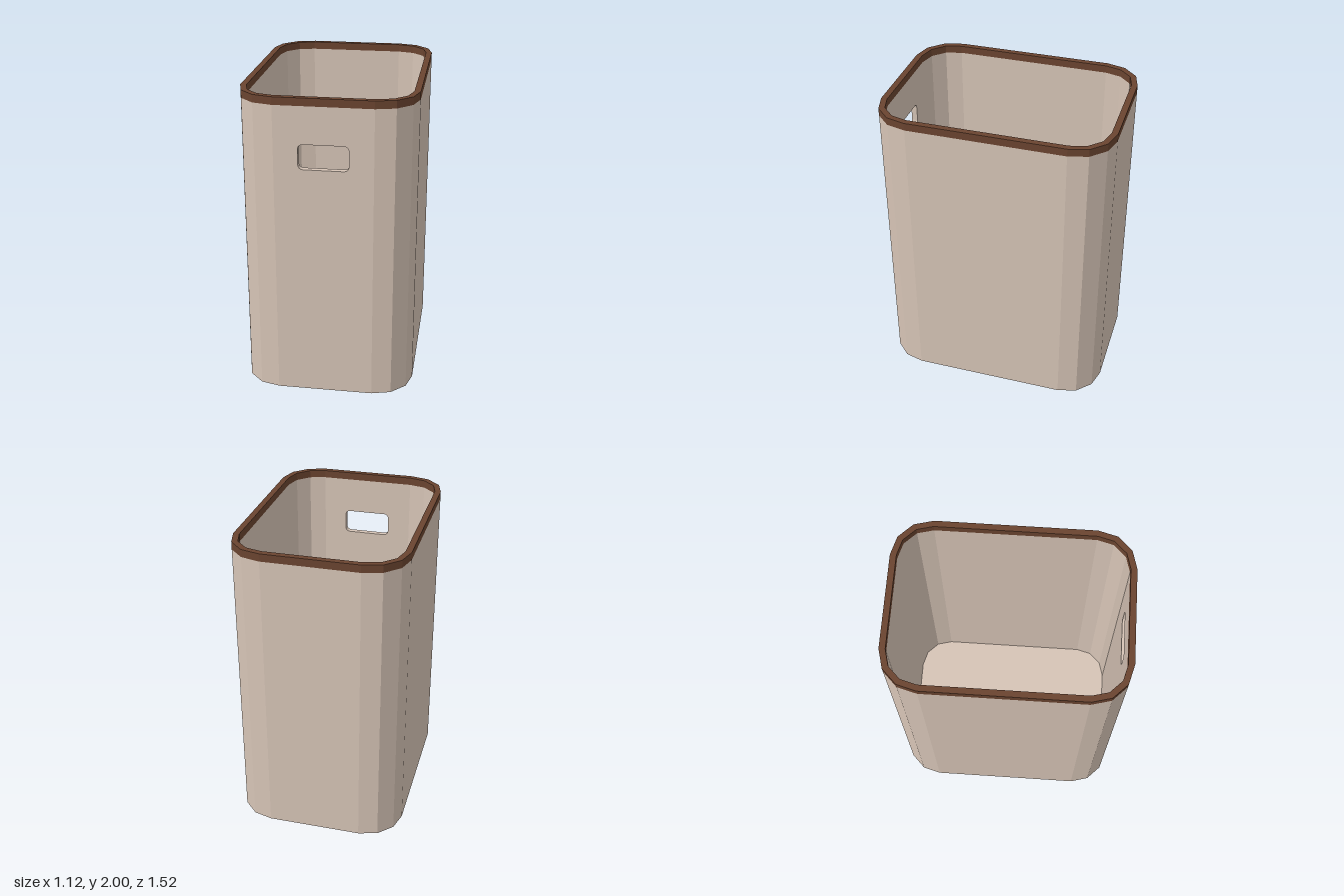
import * as THREE from 'three';

const CX = 0.31, CZ = 0.51;        // corner arc centres
const R_OUT = 0.25, R_IN = 0.21;   // outer and inner corner radii
const BODY_H = 1.95, TOTAL_H = 2, FLOOR_H = 0.04;

// Rounded rectangle with faceted corners; starts and ends at the front edge
function outline(cx, cy, r, segments) {
  const points = [];
  [[1, -1], [1, 1], [-1, 1], [-1, -1]].forEach(([sx, sy], corner) => {
    for (let i = 0; i <= segments; i++) {
      const a = (corner - 1 + i / segments) * Math.PI / 2;
      points.push(new THREE.Vector2(sx * cx + r * Math.cos(a), sy * cy + r * Math.sin(a)));
    }
  });
  return points;
}

// Extrude a plan shape upwards from y0 to y1
function upright(shape, y0, y1) {
  return new THREE.ExtrudeGeometry(shape, { depth: y1 - y0, bevelEnabled: false })
    .rotateX(-Math.PI / 2)
    .translate(0, y0, 0);
}

export function createModel() {
  const group = new THREE.Group();
  const beige = new THREE.MeshStandardMaterial({ color: 0xd6c4b6 });
  beige.name = 'beige';
  const brown = new THREE.MeshStandardMaterial({ color: 0x6a4430 });
  brown.name = 'brown';

  const add = (name, geometry, material) => {
    const mesh = new THREE.Mesh(geometry, material);
    mesh.name = name;
    group.add(mesh);
  };

  const outer = outline(CX, CZ, R_OUT, 3);
  const inner = outline(CX, CZ, R_IN, 3);

  // Back, side and corner walls, open at the flat front
  const wallPlan = new THREE.Shape([...outer, ...[...inner].reverse()]);
  add('sideAndBackWalls', upright(wallPlan, 0, BODY_H), beige);

  // Front wall with a rounded hand slot
  const front = new THREE.Shape([
    new THREE.Vector2(-CX, 0), new THREE.Vector2(CX, 0),
    new THREE.Vector2(CX, BODY_H), new THREE.Vector2(-CX, BODY_H),
  ]);
  const slot = outline(0.127, 0.05, 0.03, 4).map((p) => new THREE.Vector2(p.x, p.y + 1.63));
  front.holes.push(new THREE.Path(slot.reverse()));
  const frontWall = new THREE.ExtrudeGeometry(front, { depth: R_OUT - R_IN, bevelEnabled: false });
  add('frontWall', frontWall.translate(0, 0, CZ + R_IN), beige);

  // Floor inside the walls
  add('floor', upright(new THREE.Shape(inner), 0, FLOOR_H), beige);

  // Rim band around the top opening
  const rimPlan = new THREE.Shape(outer);
  rimPlan.holes.push(new THREE.Path([...inner].reverse()));
  add('rim', upright(rimPlan, BODY_H, TOTAL_H), brown);

  return group;
}
